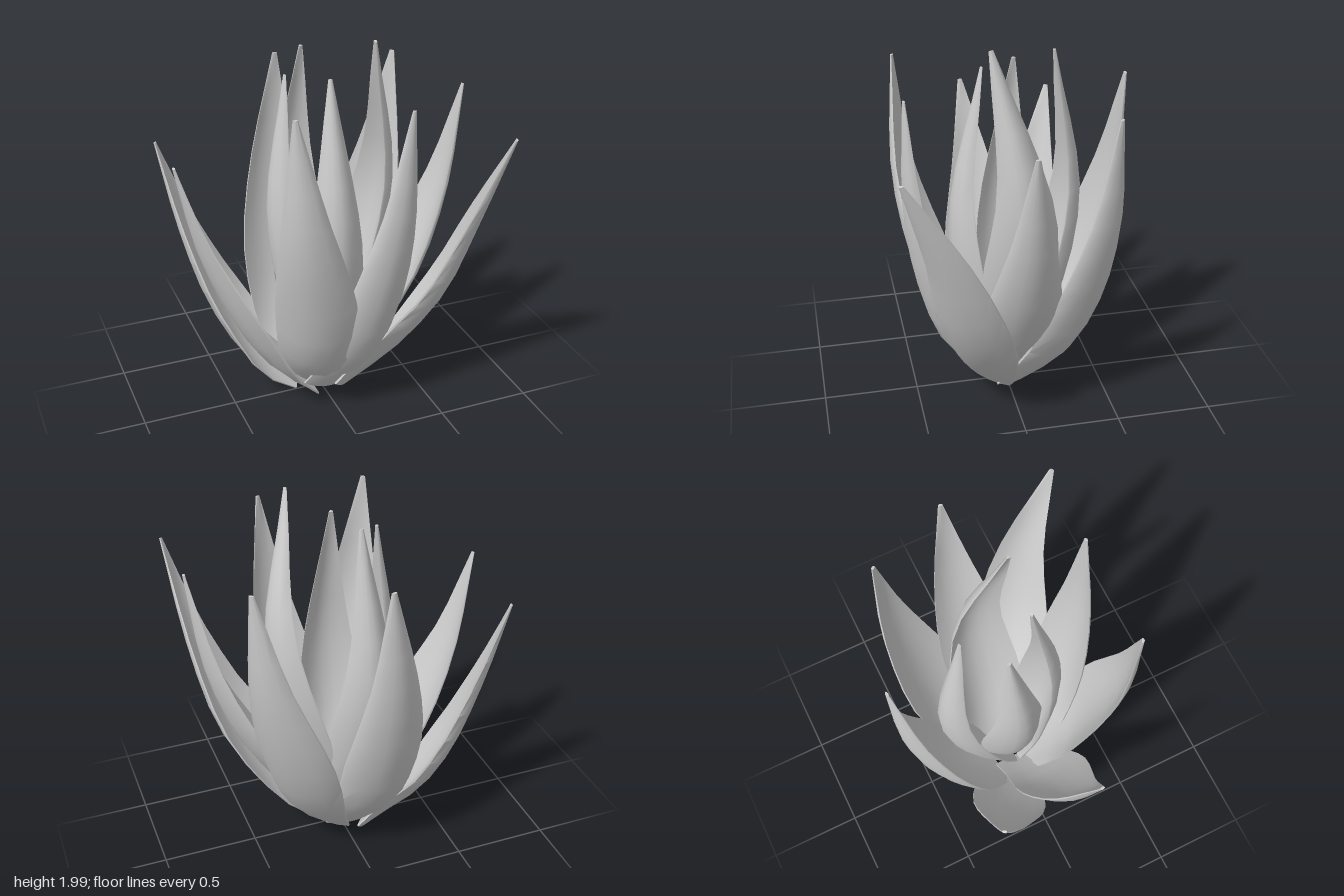
import * as THREE from 'three';
import { toCreasedNormals } from 'three/addons/utils/BufferGeometryUtils.js';

const RINGS = 10;   // cross-sections along a leaf
const N = 7;        // points across each face of a leaf

// Half-width of a full-size leaf from base (0) to tip (1)
const WIDTHS = [0.17, 0.195, 0.21, 0.205, 0.163, 0.112, 0.062, 0.012];
function halfWidth(t) {
  const f = t * (WIDTHS.length - 1);
  const i = Math.min(Math.floor(f), WIDTHS.length - 2);
  return THREE.MathUtils.lerp(WIDTHS[i], WIDTHS[i + 1], f - i);
}

// Cupped, tapering blade swept along the outer midrib, flatter at its base
function leafGeometry({ points, facing, width, cup }) {
  const spine = new THREE.CatmullRomCurve3(points.map(p => new THREE.Vector3(...p)));
  const a = THREE.MathUtils.degToRad(facing);
  const out = new THREE.Vector3(Math.sin(a), 0, Math.cos(a));
  const positions = [], index = [];
  const loop = 2 * N;

  for (let i = 0; i <= RINGS; i++) {
    const t = i / RINGS;
    const centre = spine.getPointAt(t);
    const tangent = spine.getTangentAt(t);
    const side = tangent.clone().cross(out).normalize();
    const normal = side.clone().cross(tangent).normalize();
    const w = halfWidth(t) * width;
    const thick = 0.012 + 0.16 * w;
    const bend = cup * Math.min(1, 0.4 + 2.5 * t);
    for (let k = 0; k < loop; k++) {
      const inner = k >= N;
      const s = ((inner ? loop - 1 - k : k) / (N - 1)) * 2 - 1;
      let depth = -bend * w * s * s;
      if (inner) depth -= thick * (1 - 0.75 * s * s);
      const p = centre.clone().addScaledVector(side, s * w).addScaledVector(normal, depth);
      positions.push(p.x, p.y, p.z);
    }
  }
  for (let i = 0; i < RINGS; i++) {
    for (let k = 0; k < loop; k++) {
      const p = i * loop + k, q = i * loop + (k + 1) % loop;
      index.push(p, q, q + loop, p, q + loop, p + loop);
    }
  }
  // Close the blunt base and the tip
  const top = RINGS * loop;
  for (let j = 0; j < N - 1; j++) {
    const b = j + 1, c = loop - 2 - j, d = loop - 1 - j;
    index.push(top + j, top + b, top + c, top + j, top + c, top + d);
    index.push(j, c, b, j, d, c);
  }
  const geometry = new THREE.BufferGeometry();
  geometry.setAttribute('position', new THREE.Float32BufferAttribute(positions, 3));
  geometry.setIndex(index);
  return toCreasedNormals(geometry, 0.9);
}

// Outer whorl: midrib from base to tip, facing in degrees (0 = front, 90 = left)
const outerLeaves = [
  { name: 'leftLeaf', facing: 90, width: 0.95, points: [[0.12, 0.11, 0.01], [0.34, 0.36, 0.01], [0.56, 0.71, 0.01], [0.71, 1.15, 0.01], [0.78, 1.68, 0.02]] },
  { name: 'frontLeftLeaf', facing: 55, points: [[0.08, 0.1, 0.165], [0.35, 0.33, 0.24], [0.565, 0.64, 0.325], [0.69, 1.08, 0.43], [0.755, 1.6, 0.62]] },
  { name: 'frontCentreLeaf', facing: 15, width: 0.87, points: [[-0.03, 0.12, 0.18], [0.09, 0.37, 0.365], [0.165, 0.72, 0.48], [0.22, 1.2, 0.55], [0.25, 1.79, 0.54]] },
  { name: 'frontRightLeaf', facing: -26, points: [[-0.09, 0.11, 0.1], [-0.165, 0.36, 0.33], [-0.215, 0.72, 0.46], [-0.29, 1.2, 0.545], [-0.33, 1.82, 0.525]] },
  { name: 'rightLeaf', facing: -87, width: 0.95, cup: 0.45, points: [[-0.12, 0.09, 0.03], [-0.35, 0.3, 0.07], [-0.52, 0.59, 0.075], [-0.68, 1.0, 0.07], [-0.79, 1.49, 0.1]] },
  { name: 'backRightLeaf', facing: -119, width: 0.95, cup: 0.48, points: [[-0.09, 0.06, -0.15], [-0.37, 0.26, -0.2], [-0.54, 0.54, -0.26], [-0.67, 0.96, -0.32], [-0.76, 1.43, -0.39]] },
  { name: 'backLeaf', facing: 188, width: 1.08, points: [[-0.05, 0.1, -0.15], [-0.09, 0.36, -0.38], [-0.1, 0.75, -0.53], [-0.08, 1.2, -0.61], [-0.025, 1.75, -0.62]] },
  { name: 'backLeftLeaf', facing: 131, width: 1.05, points: [[0.15, 0.09, -0.05], [0.31, 0.34, -0.24], [0.43, 0.7, -0.37], [0.54, 1.2, -0.43], [0.58, 1.75, -0.42]] },
];

// Upright inner whorl, more tightly cupped
const innerLeaves = [
  { name: 'innerFrontLeaf', facing: 0, points: [[0, 0.12, 0.05], [0, 0.45, 0.23], [0, 1.05, 0.3], [0, 1.84, 0.13]] },
  { name: 'innerLeftLeaf', facing: 95, width: 0.95, points: [[-0.01, 0.12, -0.02], [0.22, 0.45, -0.04], [0.405, 1.2, -0.04], [0.24, 2, 0.12]] },
  { name: 'innerBackLeaf', facing: 185, points: [[-0.01, 0.12, -0.05], [-0.03, 0.45, -0.26], [-0.05, 1.1, -0.4], [-0.015, 1.9, -0.25]] },
  { name: 'innerRightLeaf', facing: -88, points: [[-0.04, 0.12, 0], [-0.18, 0.45, -0.02], [-0.28, 1.1, -0.03], [-0.17, 1.82, -0.07]] },
];

export function createModel() {
  const plant = new THREE.Group();
  plant.name = 'succulentPlant';
  const material = new THREE.MeshStandardMaterial({ color: 0xcccccc, side: THREE.DoubleSide });

  const addWhorl = (name, leaves, defaults) => {
    const whorl = new THREE.Group();
    whorl.name = name;
    for (const spec of leaves) {
      const leaf = new THREE.Mesh(leafGeometry({ ...defaults, ...spec }), material);
      leaf.name = spec.name;
      whorl.add(leaf);
    }
    plant.add(whorl);
  };
  addWhorl('outerLeaves', outerLeaves, { width: 1, cup: 0.5 });
  addWhorl('innerLeaves', innerLeaves, { width: 0.83, cup: 0.75 });
  return plant;
}
